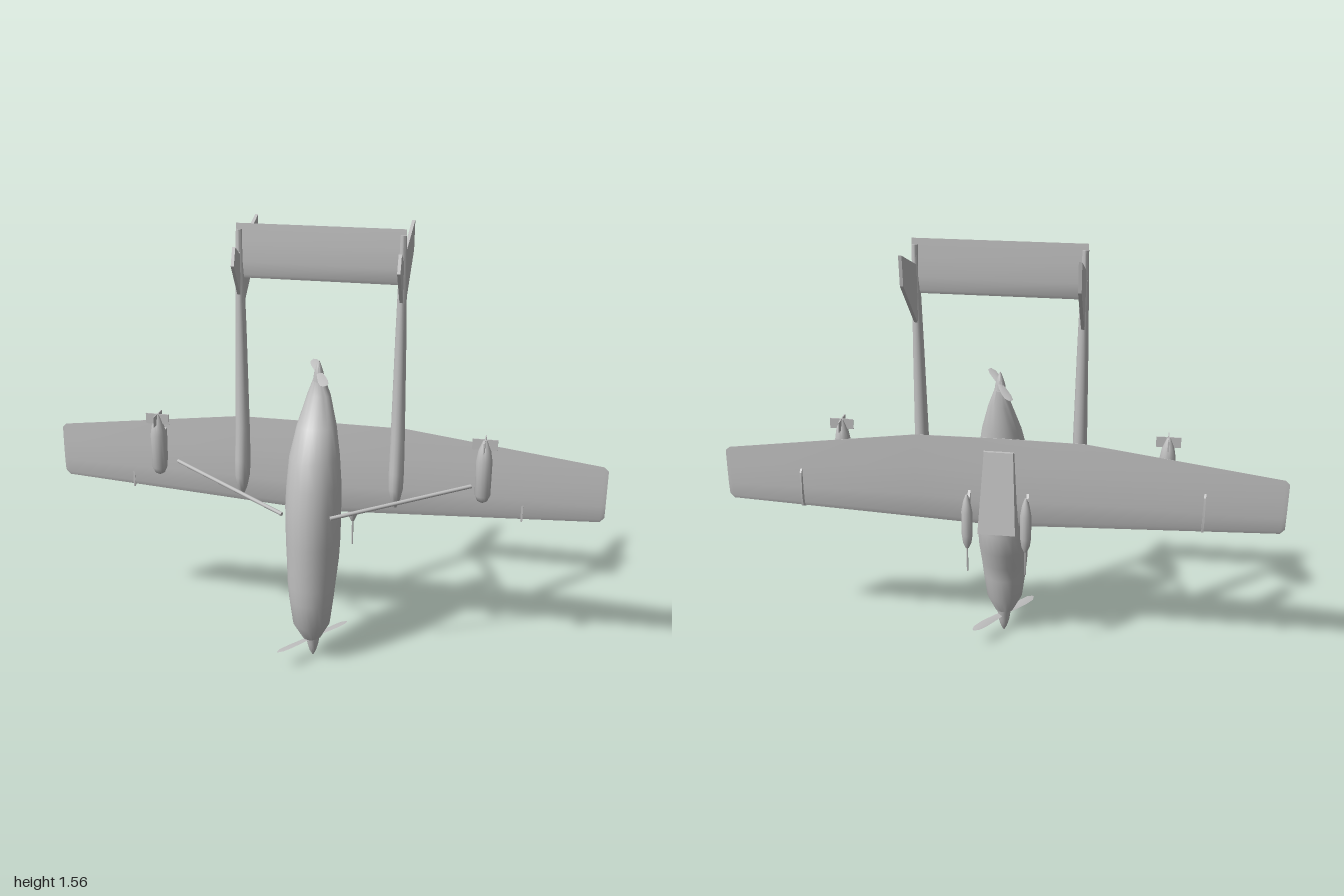
import * as THREE from 'three';
import { toCreasedNormals } from 'three/addons/utils/BufferGeometryUtils.js';

const V = (x, y, z) => new THREE.Vector3(x, y, z);

// Skin a list of equal-length closed rings, cap both ends, face outward.
function loft(rings, crease = 0.7) {
  const n = rings[0].length, tris = [];
  for (let i = 0; i < rings.length - 1; i++)
    for (let j = 0; j < n; j++) {
      const k = (j + 1) % n, a = rings[i][j], b = rings[i][k], c = rings[i + 1][k], d = rings[i + 1][j];
      tris.push([a, b, c], [a, c, d]);
    }
  const cap = (ring, flip) => {
    const m = ring.reduce((s, p) => s.add(p), V(0, 0, 0)).divideScalar(n);
    ring.forEach((p, j) => {
      const q = ring[(j + 1) % n];
      tris.push(flip ? [m, q, p] : [m, p, q]);
    });
  };
  cap(rings[0], true);
  cap(rings[rings.length - 1], false);
  const volume = tris.reduce((s, [a, b, c]) => s + a.dot(b.clone().cross(c)), 0);
  const flat = tris.flatMap(([a, b, c]) => (volume > 0 ? [a, b, c] : [a, c, b]));
  const geo = new THREE.BufferGeometry().setFromPoints(flat);
  return toCreasedNormals(geo, crease);
}

// Elliptical body along y from stations [y, centre z, half width, half depth].
function body(stations, x = 0, sides = 20) {
  return loft(stations.map(([y, z, rx, rz]) => Array.from({ length: sides }, (_, j) => {
    const a = (j / sides) * Math.PI * 2;
    return V(x + rx * Math.cos(a), y, z + rz * Math.sin(a));
  })));
}

// Airfoil panel along x from stations [x, leading y, trailing y, centre z, thickness].
function panel(stations) {
  return loft(stations.map(([x, y0, y1, z, t]) => {
    const p = (f, s) => V(x, y0 + (y1 - y0) * f, z + s * t);
    return [p(0, 0), p(0.06, 0.3), p(0.3, 0.5), p(0.65, 0.35), p(1, 0.03),
      p(1, -0.03), p(0.65, -0.35), p(0.3, -0.5), p(0.06, -0.3)];
  }), 0.5);
}

// Flat plate at x, outlined by [z, y] points.
function plate(points, x, t) {
  return loft([x - t / 2, x + t / 2].map(px => points.map(([z, y]) => V(px, y, z))), 0.3);
}

export function createModel() {
  const model = new THREE.Group();
  const grey = new THREE.MeshStandardMaterial({ color: 0xc0c0c0 });
  grey.name = 'light grey';
  const add = (name, geo, parent = model) => {
    const mesh = new THREE.Mesh(geo, grey);
    mesh.name = name;
    parent.add(mesh);
    return mesh;
  };
  const rod = (name, a, b, r) => {
    const mesh = add(name, new THREE.CylinderGeometry(r, r, a.distanceTo(b), 8));
    mesh.position.copy(a).lerp(b, 0.5);
    mesh.quaternion.setFromUnitVectors(V(0, 1, 0), b.clone().sub(a).normalize());
  };

  // Fuselage
  add('fuselage', body([
    [0.09, 0.115, 0.035, 0.04], [0.15, 0.12, 0.067, 0.07], [0.25, 0.119, 0.08, 0.086],
    [0.31, 0.115, 0.086, 0.093], [0.39, 0.095, 0.092, 0.114], [0.47, 0.09, 0.096, 0.12],
    [0.6, 0.088, 0.098, 0.117], [0.68, 0.078, 0.096, 0.108], [0.78, 0.068, 0.088, 0.098],
    [0.88, 0.035, 0.07, 0.064], [0.98, 0.0, 0.042, 0.03], [1.04, -0.003, 0.02, 0.02],
  ], 0, 24));

  // Spinners
  add('frontSpinner', body([[0.002, 0.1, 0.003, 0.003], [0.02, 0.1, 0.012, 0.012],
    [0.05, 0.1, 0.021, 0.021], [0.1, 0.1, 0.028, 0.028]], 0, 12));
  add('rearSpinner', body([[1.03, 0, 0.021, 0.021], [1.06, 0, 0.017, 0.017],
    [1.085, 0, 0.009, 0.009], [1.103, 0, 0.002, 0.002]], 0, 12));

  // Two-blade propellers: dx, dz point along the blades
  const propeller = (name, y, z, dx, dz, twist) => {
    const group = new THREE.Group();
    group.name = name;
    group.position.set(0, y, z);
    group.rotation.y = Math.atan2(-dz, dx);
    const len = Math.hypot(dx, dz);
    for (const s of [1, -1]) {
      const stations = [[0, 0.009, 0.008], [0.3, 0.014, 0.006], [0.65, 0.017, 0.005], [0.9, 0.014, 0.004], [1, 0.004, 0.003]];
      const blade = add('blade', loft(stations.map(([f, w, t]) =>
        [V(f * len, 0, -w), V(f * len, t / 2, 0), V(f * len, 0, w), V(f * len, -t / 2, 0)])), group);
      blade.rotation.set(twist, s > 0 ? 0 : Math.PI, 0);
    }
    model.add(group);
  };
  propeller('frontPropeller', 0.075, 0.1, -0.098, 0.136, 0.2);
  propeller('rearPropeller', 1.06, -0.003, 0.055, 0.152, 0.2);

  // Wing, slight dihedral toward the back (-z)
  const half = [[1, 0.592, 0.765, -0.043, 0.008], [0.985, 0.575, 0.779, -0.043, 0.013],
    [0.3, 0.541, 0.866, -0.033, 0.024]];
  add('wing', panel([
    ...half.map(([x, ...rest]) => [-x, ...rest]),
    [0, 0.526, 0.868, -0.03, 0.028],
    ...half.slice().reverse(),
  ]));

  // Wedge fairing over the wing centre
  add('centreFairing', loft([[0.525, 0.072, -0.104], [0.82, 0.055, -0.046]].map(([y, w, z]) =>
    [V(-w, y, -0.03), V(w, y, -0.03), V(w * 0.94, y, z), V(-w * 0.94, y, z)]), 0.3));

  // Tailplane
  add('tailplane', panel([[-0.29, 1.375, 1.56, -0.018, 0.016], [0.29, 1.375, 1.56, -0.018, 0.016]]));

  for (const s of [1, -1]) {
    const side = s > 0 ? 'left' : 'right';
    // Tail booms
    add(side + 'Boom', body([
      [0.59, 0.02, 0.006, 0.008], [0.615, 0.02, 0.017, 0.024], [0.66, 0.015, 0.026, 0.037],
      [0.72, 0.008, 0.027, 0.039], [0.84, -0.002, 0.025, 0.029],
      [1.2, -0.012, 0.019, 0.021], [1.54, -0.018, 0.011, 0.012],
    ], s * 0.28, 14));
    // Swept fins
    add(side + 'Fin', plate([[-0.235, 1.555], [-0.226, 1.455], [-0.042, 1.28], [-0.015, 1.29],
      [0.07, 1.43], [0.047, 1.49], [0.02, 1.455]], s * 0.28, 0.011));
    // Wing braces
    rod(side + 'WingStrut', V(s * 0.085, 0.604, 0.2), V(s * 0.54, 0.675, -0.025), 0.007);
    // Wing fences
    add(side + 'WingFence', plate([[-0.03, 0.555], [-0.062, 0.57], [-0.068, 0.61], [-0.058, 0.7], [-0.035, 0.72]],
      s * 0.72, 0.007));
    // Underwing stores with cross tail fins and pylons
    const sx = s * 0.585, sz = 0.043;
    add(side + 'Store', body([
      [0.648, sz, 0.006, 0.006], [0.655, sz, 0.018, 0.018], [0.675, sz, 0.027, 0.027],
      [0.8, sz, 0.028, 0.028], [0.84, sz, 0.021, 0.021], [0.875, sz, 0.007, 0.007],
    ], sx, 14));
    for (const turn of [0, Math.PI / 2]) {
      const fin = add(side + 'StoreFin', plate([[-0.043, 0.84], [0.043, 0.84], [0.043, 0.878], [-0.043, 0.878]], 0, 0.004));
      fin.position.set(sx, 0, sz);
      fin.rotation.y = turn;
    }
    add(side + 'StorePylon', plate([[-0.035, 0.67], [0.025, 0.69], [0.025, 0.79], [-0.035, 0.8]], sx, 0.009));
    // Slim pods above the wing with nose probes
    const px = s * 0.105, pz = -0.1;
    add(side + 'Pod', body([
      [0.465, pz, 0.006, 0.006], [0.485, pz, 0.015, 0.015], [0.52, pz, 0.02, 0.02],
      [0.61, pz, 0.02, 0.02], [0.65, pz, 0.013, 0.013], [0.676, pz, 0.004, 0.004],
    ], px, 12));
    rod(side + 'Probe', V(px, 0.37, pz), V(px, 0.47, pz), 0.003);
    add(side + 'PodPylon', plate([[-0.03, 0.54], [-0.09, 0.53], [-0.09, 0.62], [-0.03, 0.68]], px, 0.009));
  }
  return model;
}
